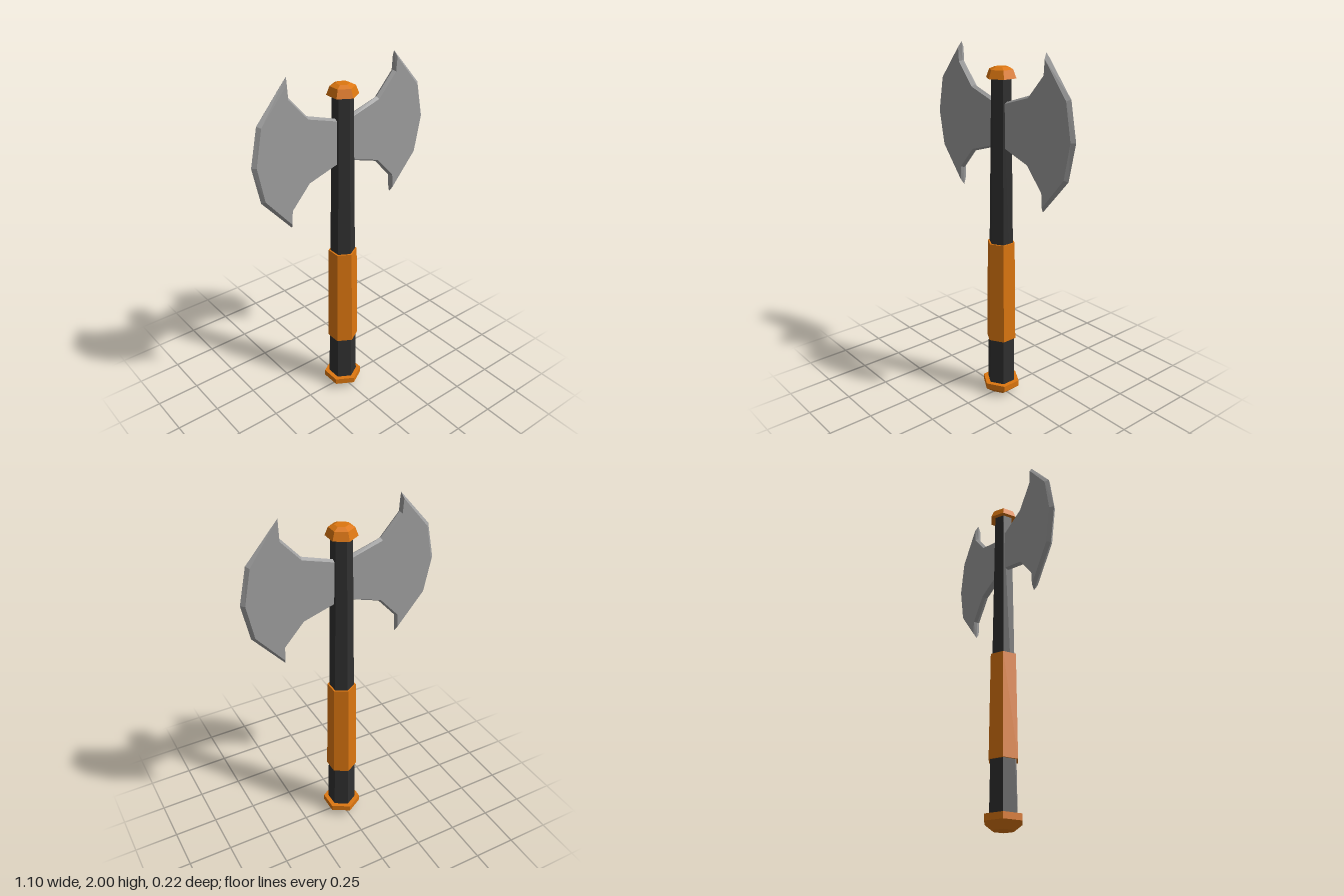
import * as THREE from 'three';

export function createModel() {
  const group = new THREE.Group();
  const mat = (name, color) => {
    const m = new THREE.MeshStandardMaterial({ color, flatShading: true });
    m.name = name;
    return m;
  };
  const black = mat('charcoal', 0x303030);
  const orange = mat('orange', 0xdd7710);
  const steel = mat('steel', 0x9e9e9e);

  const add = (name, geometry, material) => {
    const mesh = new THREE.Mesh(geometry, material);
    mesh.name = name;
    group.add(mesh);
  };

  // Six-sided turned part from [radius, height] pairs, bottom to top
  const hex = (profile) =>
    new THREE.LatheGeometry(profile.map(([r, y]) => new THREE.Vector2(r, y)), 6);

  add('shaft', hex([[0, 0.06], [0.082, 0.06], [0.055, 1.86], [0, 1.86]]), black);
  add('grip', hex([[0, 0.355], [0.087, 0.355], [0.079, 0.945], [0, 0.945]]), orange);
  add('pommel', hex([[0, 0], [0.058, 0], [0.11, 0.04], [0.11, 0.075], [0, 0.075]]), orange);
  add('topCap', hex([[0, 1.843], [0.083, 1.843], [0.066, 1.887], [0.036, 1.9], [0, 1.9]]), orange);

  // Double blade: a sharp rim on the centre plane and a flat face on each side
  const centreY = 1.6, halfThick = 0.018;
  const rimHalf = [[0.05, 0.127], [0.222, 0.182], [0.328, 0.3], [0.332, 0.4], [0.508, 0.2]];
  const faceHalf = [[0.05, 0.117], [0.226, 0.171], [0.336, 0.293], [0.341, 0.37], [0.492, 0.192]];
  const loop = (half, tipX) => {
    const right = [
      ...half.map(([x, y]) => [x, -y]),
      [tipX, 0],
      ...[...half].reverse(),
    ];
    const left = [...right].reverse().map(([x, y]) => [-x, y]);
    return [...right, ...left].map(([x, y]) => new THREE.Vector2(x, y + centreY));
  };
  const rim = loop(rimHalf, 0.55);
  const face = loop(faceHalf, 0.53);
  const n = rim.length;

  const positions = [];
  const ring = (points, z) => points.forEach((p) => positions.push(p.x, p.y, z));
  ring(face, halfThick);
  ring(rim, 0);
  ring(face, -halfThick);

  const index = [];
  for (let r = 0; r < 2; r++) {
    for (let i = 0; i < n; i++) {
      const j = (i + 1) % n;
      const a = r * n + i, b = r * n + j, c = a + n, d = b + n;
      index.push(a, c, b, b, c, d);
    }
  }
  for (const [a, b, c] of THREE.ShapeUtils.triangulateShape(face, [])) {
    index.push(a, b, c, 2 * n + a, 2 * n + c, 2 * n + b);
  }
  const blade = new THREE.BufferGeometry();
  blade.setAttribute('position', new THREE.Float32BufferAttribute(positions, 3));
  blade.setIndex(index);
  blade.computeVertexNormals();
  add('doubleBlade', blade, steel);

  return group;
}
